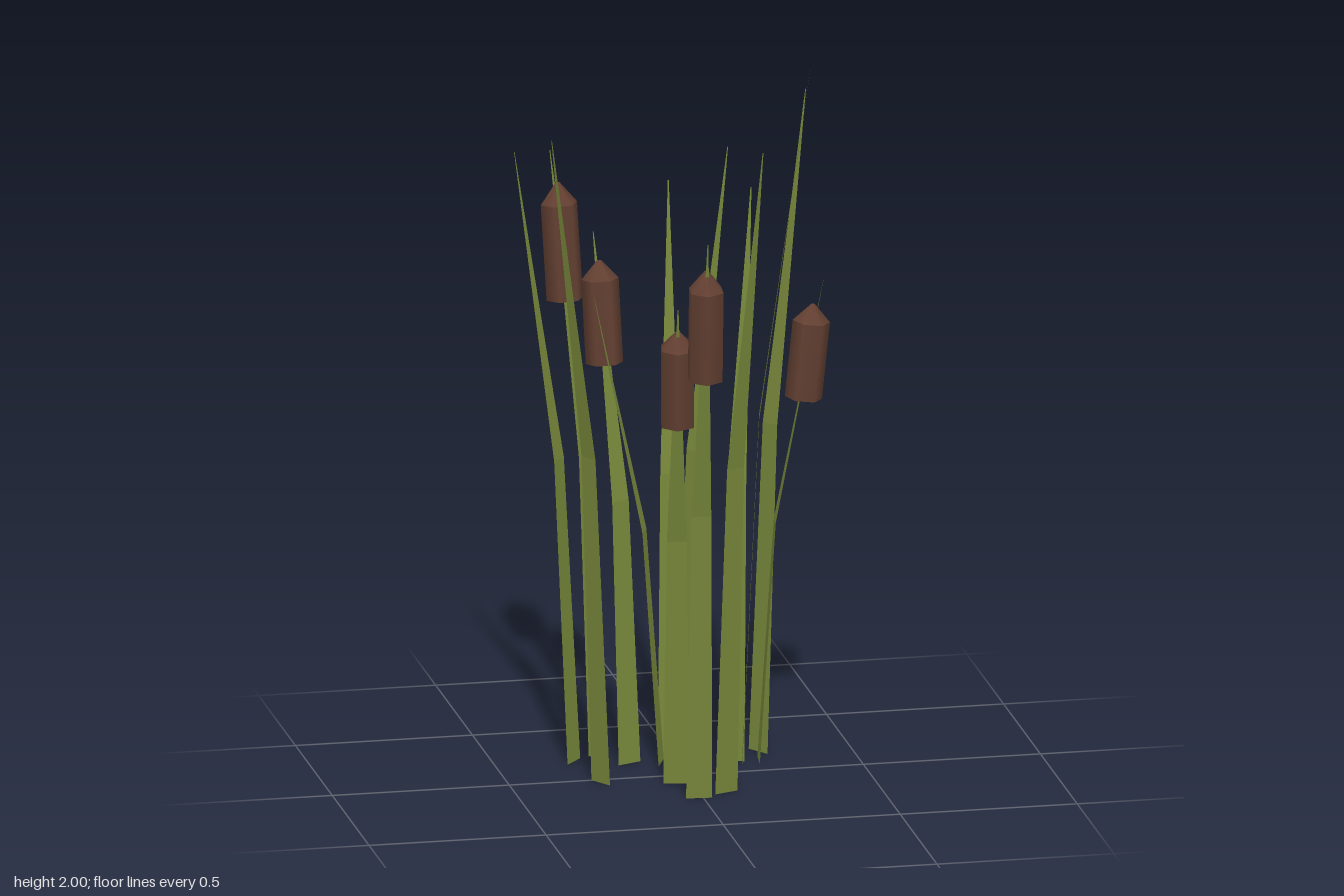
import * as THREE from 'three';

const leafGreen = new THREE.MeshStandardMaterial({ color: 0x76863a, side: THREE.DoubleSide, flatShading: true });
leafGreen.name = 'leafGreen';
const seedBrown = new THREE.MeshStandardMaterial({ color: 0x623f31 });
seedBrown.name = 'seedBrown';

// Each plant: base x, base z, tip x, tip z, height
const LEAVES = [
  [-0.278, -0.19, -0.421, -0.312, 1.73],
  [-0.044, -0.13, -0.218, -0.204, 1.33],
  [-0.008, -0.17, 0.023, -0.356, 1.61],
  [0.045, -0.264, 0.195, -0.376, 1.69],
  [0.152, -0.112, 0.24, -0.276, 1.6],
  [0.241, -0.184, 0.397, -0.289, 1.87],
  [0.173, -0.075, 0.358, -0.037, 2.0],
  [-0.248, 0.03, -0.408, 0.133, 1.89],
  [0.073, 0.193, 0.14, 0.369, 1.89],
];
const CATTAILS = [
  [-0.197, -0.25, -0.3, -0.411, 1.7],
  [-0.131, -0.141, -0.2, -0.304, 1.49],
  [0.225, -0.1, 0.404, -0.08, 1.38],
  [-0.044, 0.078, -0.078, 0.262, 1.42],
  [-0.012, 0.232, -0.027, 0.424, 1.65],
];

// Tapering strip that bends once at half height and leans towards local +z
function blade(height, lean) {
  const geo = new THREE.PlaneGeometry(1, 1, 1, 2);
  const p = geo.attributes.position;
  for (let i = 0; i < p.count; i++) {
    const t = p.getY(i) + 0.5;
    const width = 0.073 * (1 - 0.96 * t * t);
    p.setXYZ(i, p.getX(i) * width, t * height, lean * t * t);
  }
  geo.computeVertexNormals();
  const mesh = new THREE.Mesh(geo, leafGreen);
  mesh.name = 'blade';
  return mesh;
}

// Six-sided seed head with a pointed cap, tilted along the blade
function seedHead(height, lean) {
  const bottom = new THREE.Vector3(0, 0.755 * height, 0.69 * lean);
  const top = new THREE.Vector3(0, 0.949 * height, 0.84 * lean);
  const axis = top.clone().sub(bottom);
  const length = axis.length();
  const bodyLength = length * 0.82;
  const capLength = length - bodyLength;
  const radius = 0.052;

  const head = new THREE.Group();
  head.name = 'seedHead';
  const body = new THREE.Mesh(new THREE.CylinderGeometry(radius, radius, bodyLength, 6), seedBrown);
  body.name = 'seedHeadBody';
  body.position.y = bodyLength / 2;
  const cap = new THREE.Mesh(new THREE.CylinderGeometry(0.006, radius, capLength, 6), seedBrown);
  cap.name = 'seedHeadCap';
  cap.position.y = bodyLength + capLength / 2;
  head.add(body, cap);
  head.position.copy(bottom);
  head.rotation.x = Math.atan2(axis.z, axis.y);
  return head;
}

function plant([bx, bz, tx, tz, height], hasHead) {
  const lean = Math.hypot(tx - bx, tz - bz);
  const group = new THREE.Group();
  group.name = hasHead ? 'cattail' : 'leaf';
  group.position.set(bx, 0, bz);
  group.rotation.y = Math.atan2(tx - bx, tz - bz);
  group.add(blade(height, lean));
  if (hasHead) group.add(seedHead(height, lean));
  return group;
}

export function createModel() {
  const model = new THREE.Group();
  model.name = 'cattailClump';
  for (const leaf of LEAVES) model.add(plant(leaf, false));
  for (const cattail of CATTAILS) model.add(plant(cattail, true));
  return model;
}
